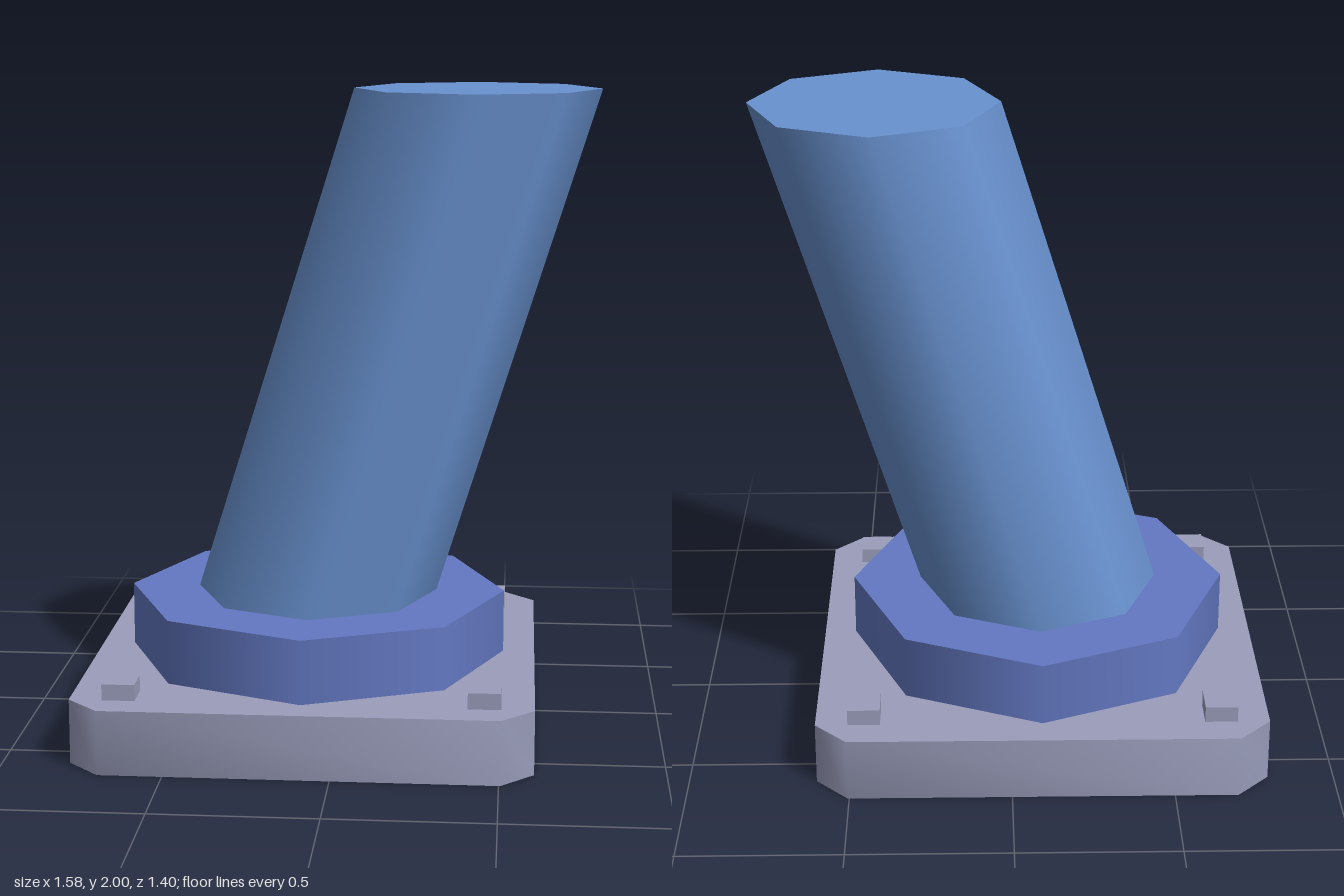
import * as THREE from 'three';
import { toCreasedNormals } from 'three/addons/utils/BufferGeometryUtils.js';

const CENTRE_X = -0.095; // centre of the base; the pipe leans towards +x

export function createModel() {
  const group = new THREE.Group();
  const material = (name, color) => {
    const m = new THREE.MeshStandardMaterial({ color });
    m.name = name;
    return m;
  };
  const grey = material('plateGrey', 0x9a9dbb);
  const indigo = material('collarIndigo', 0x6378c2);
  const blue = material('pipeBlue', 0x6992d0);

  const add = (name, geometry, mat, x, y, z) => {
    const mesh = new THREE.Mesh(geometry, mat);
    mesh.name = name;
    mesh.position.set(x, y, z);
    group.add(mesh);
  };

  // Square base plate with clipped corners
  const h = 0.7, c = 0.6;
  const outline = new THREE.Shape([
    [h, -c], [h, c], [c, h], [-c, h], [-h, c], [-h, -c], [-c, -h], [c, -h],
  ].map(([x, y]) => new THREE.Vector2(x, y)));
  const plate = new THREE.ExtrudeGeometry(outline, { depth: 0.2, bevelEnabled: false });
  plate.rotateX(-Math.PI / 2);
  add('basePlate', toCreasedNormals(plate, Math.PI / 3), grey, CENTRE_X, 0, 0);

  // Corner bolts
  const bolt = new THREE.BoxGeometry(0.1, 0.05, 0.1);
  for (const sx of [-1, 1]) {
    for (const sz of [-1, 1]) {
      add('bolt', bolt, grey, CENTRE_X + sx * 0.55, 0.225, sz * 0.55);
    }
  }

  // Octagonal collar
  add('collar', new THREE.CylinderGeometry(0.6, 0.6, 0.2, 8), indigo, CENTRE_X, 0.3, 0);

  // Leaning octagonal pipe, sheared so both ends stay level
  const height = 1.6, lean = 0.5;
  const pipe = new THREE.CylinderGeometry(0.383, 0.383, height, 8);
  pipe.translate(0, height / 2, 0);
  pipe.applyMatrix4(new THREE.Matrix4().set(
    1, lean / height, 0, 0,
    0, 1, 0, 0,
    0, 0, 1, 0,
    0, 0, 0, 1,
  ));
  add('pipe', pipe, blue, CENTRE_X, 0.4, 0);

  return group;
}
